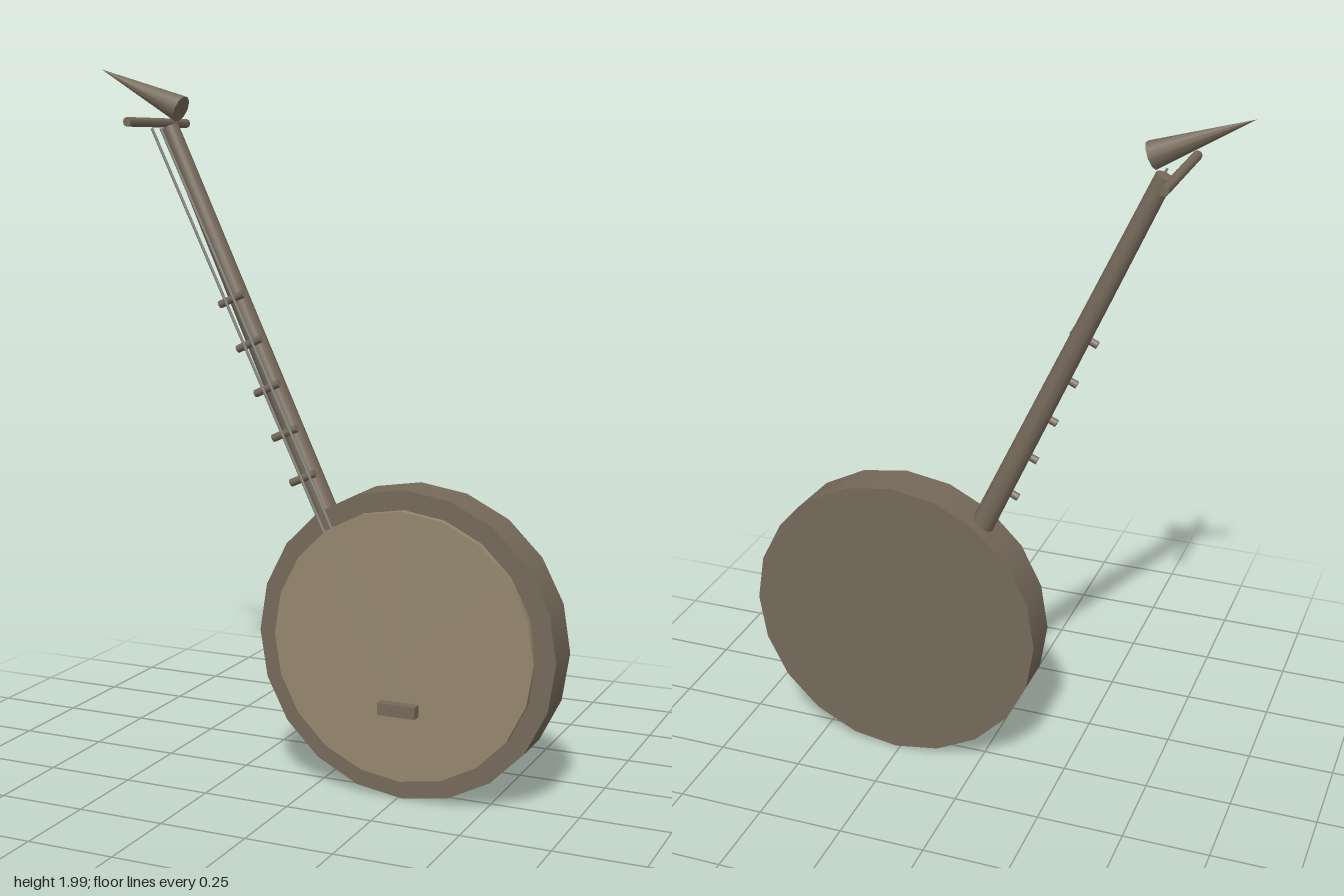
import * as THREE from 'three';

const wood = new THREE.MeshStandardMaterial({ color: 0x75695a });
const hide = new THREE.MeshStandardMaterial({ color: 0x95876c });
const gut = new THREE.MeshStandardMaterial({ color: 0x8c8c86 });
const UP = new THREE.Vector3(0, 1, 0);

export function createModel() {
  const model = new THREE.Group();

  const add = (name, geometry, material, position) => {
    const mesh = new THREE.Mesh(geometry, material);
    mesh.name = name;
    mesh.position.set(...position);
    model.add(mesh);
    return mesh;
  };

  // Round bar between two points, with a radius at each end
  const bar = (name, from, to, r0, r1, sides, material) => {
    const a = new THREE.Vector3(...from), b = new THREE.Vector3(...to);
    const dir = b.clone().sub(a);
    const geometry = new THREE.CylinderGeometry(r1, r0, dir.length(), sides);
    const mesh = add(name, geometry, material, a.clone().add(b).multiplyScalar(0.5).toArray());
    mesh.quaternion.setFromUnitVectors(UP, dir.normalize());
    return mesh;
  };

  // Drum body and the skin stretched over its front
  const drum = add('drumBody', new THREE.CylinderGeometry(0.433, 0.433, 0.126, 20), wood, [0.263, 0.437, 0]);
  const skin = add('drumSkin', new THREE.CylinderGeometry(0.378, 0.378, 0.03, 20), hide, [0.263, 0.437, 0.068]);
  drum.rotation.x = skin.rotation.x = Math.PI / 2;

  // Bridge
  add('bridge', new THREE.BoxGeometry(0.11, 0.034, 0.034), wood, [0.263, 0.268, 0.096]);

  // Tapered neck, running into the drum
  bar('neck', [0.05, 0.68, 0], [-0.476, 1.835, 0], 0.034, 0.025, 12, wood);

  // Frets across the front of the neck
  const tilt = 0.425;
  for (let i = 0; i < 5; i++) {
    const x = -0.268 + i * 0.0545, y = 1.362 - i * 0.122;
    const dx = 0.04 * Math.cos(tilt), dy = 0.04 * Math.sin(tilt);
    bar('fret', [x - dx, y - dy, 0.035], [x + dx, y + dy, 0.035], 0.011, 0.011, 8, wood);
  }

  // Tuning peg, crosswise at the head
  bar('tuningPeg', [-0.516, 1.847, -0.167], [-0.516, 1.847, 0.167], 0.013, 0.013, 8, wood);

  // Pointed head
  bar('head', [-0.44, 1.884, 0], [-0.695, 1.997, 0], 0.038, 0, 10, wood);

  // Strings from the head to the bridge
  for (const s of [-1, 1]) {
    const off = s * 0.014;
    bar('string', [0.265 + off, 0.285, 0.08], [-0.474 + off, 1.83, 0.08], 0.004, 0.004, 6, gut);
  }

  return model;
}
